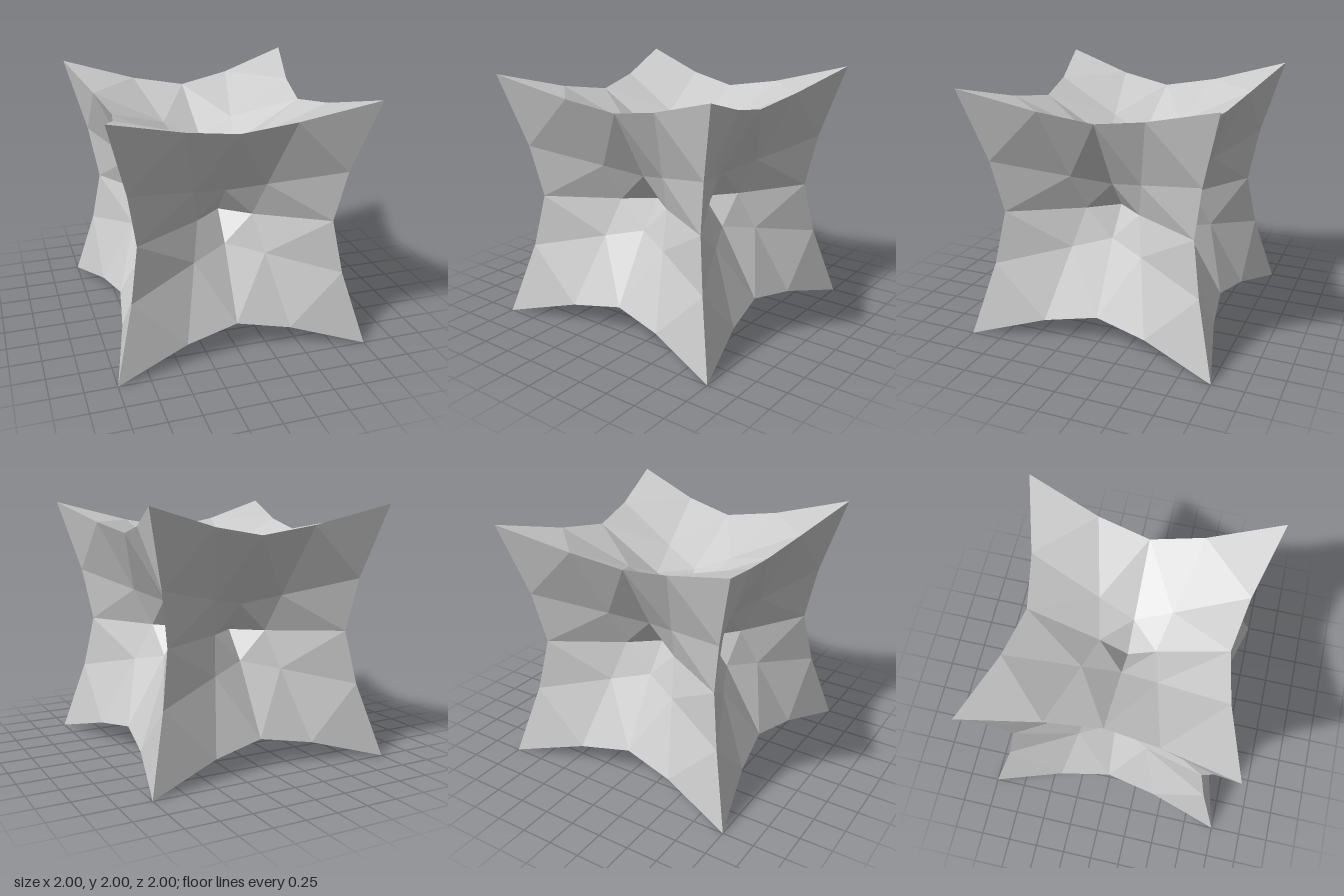
import * as THREE from 'three';
import { mergeGeometries } from 'three/addons/utils/BufferGeometryUtils.js';

// Twice the cube point minus its projection on the circumscribed sphere:
// corners stay put, edges bow in and face centres sink deep.
function pinch(p) {
  return p.clone().multiplyScalar(2 - Math.sqrt(3) / p.length());
}

// One triangle split at its edge midpoints into four
function split(a, b, c) {
  const mid = (p, q) => p.clone().add(q).multiplyScalar(0.5);
  const ab = mid(a, b), bc = mid(b, c), ca = mid(c, a);
  return [a, ab, ca, ab, b, bc, ca, bc, c, ab, bc, ca];
}

// A quarter of the +z face, cut along the diagonal between its edge middles
function quarterGeometry() {
  const centre = new THREE.Vector3(0, 0, 1);
  const corner = new THREE.Vector3(1, 1, 1);
  const right = new THREE.Vector3(1, 0, 1);
  const top = new THREE.Vector3(0, 1, 1);
  const points = [...split(centre, right, top), ...split(corner, top, right)];
  return new THREE.BufferGeometry().setFromPoints(points.map(pinch));
}

export function createModel() {
  const group = new THREE.Group();
  group.name = 'spikedCube';
  const material = new THREE.MeshStandardMaterial({ color: 0xcccccc, flatShading: true });

  // Sunken face panel: four quarters turned about its centre
  const quarter = quarterGeometry();
  const panel = mergeGeometries([0, 1, 2, 3].map((i) => quarter.clone().rotateZ(i * Math.PI / 2)));
  panel.computeVertexNormals();

  // The same panel on all six sides
  const h = Math.PI / 2;
  const sides = [
    ['frontFace', 0, 0], ['leftFace', 0, h], ['backFace', 0, 2 * h],
    ['rightFace', 0, -h], ['topFace', -h, 0], ['bottomFace', h, 0],
  ];
  for (const [name, rx, ry] of sides) {
    const mesh = new THREE.Mesh(panel, material);
    mesh.name = name;
    mesh.rotation.set(rx, ry, 0);
    mesh.position.y = 1;
    group.add(mesh);
  }
  return group;
}
